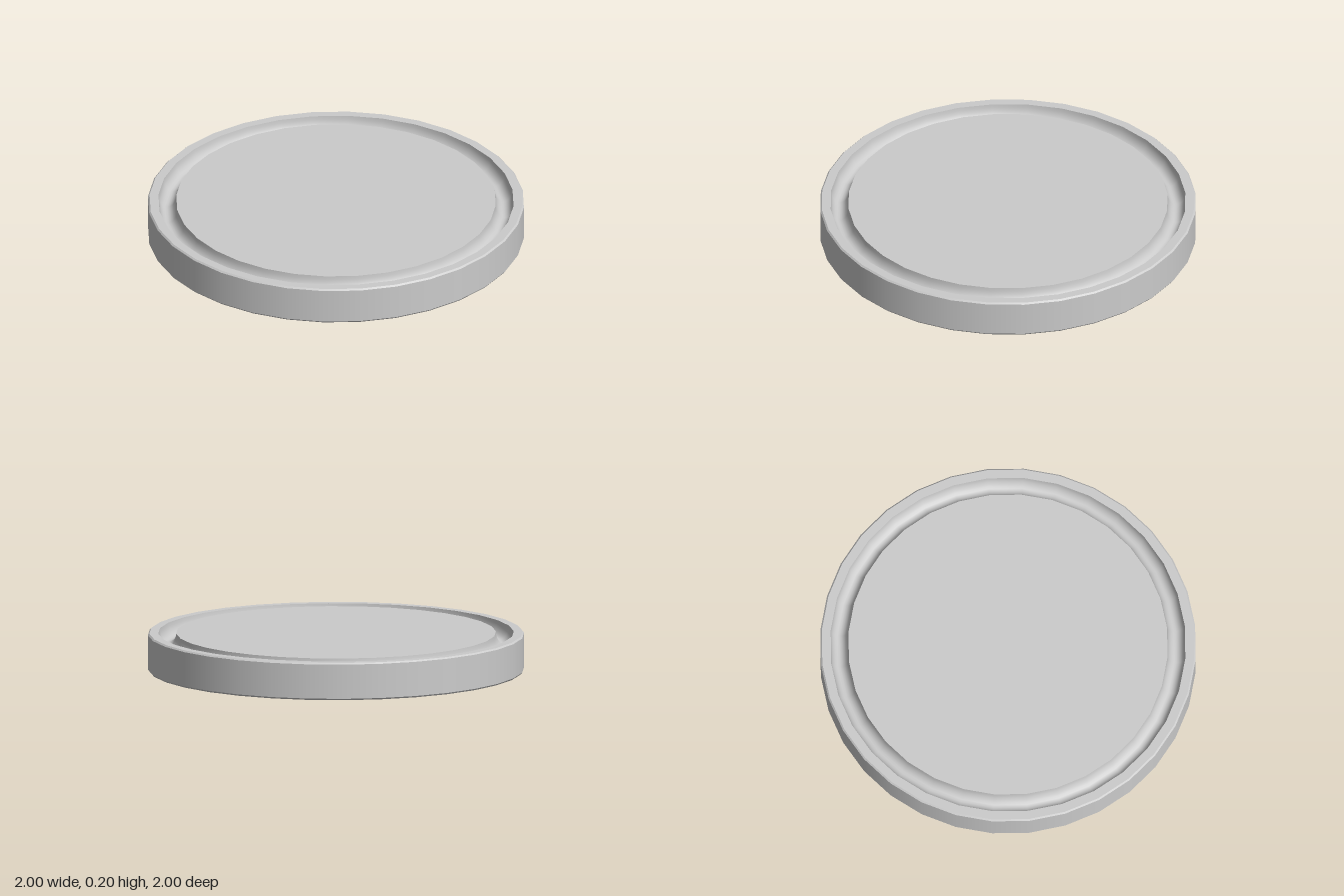
import * as THREE from 'three';

const SEGMENTS = 32;
const TOP = 0.2;

export function createModel() {
  const lid = new THREE.Group();
  lid.name = 'lid';
  const material = new THREE.MeshStandardMaterial({ color: 0xcccccc, side: THREE.DoubleSide });

  // Each band is its own lathe, so normals are smooth within it and sharp between bands
  const addBand = (name, profile) => {
    const points = profile.map(([r, y]) => new THREE.Vector2(r, y));
    const mesh = new THREE.Mesh(new THREE.LatheGeometry(points, SEGMENTS), material);
    mesh.name = name;
    lid.add(mesh);
  };

  // Open-bottomed side wall with slightly eased edges
  addBand('bottomEdge', [[0.994, 0], [1, 0.008]]);
  addBand('skirt', [[1, 0.008], [1, TOP - 0.008]]);
  addBand('topEdge', [[1, TOP - 0.008], [0.992, TOP]]);

  // Flat rim around the top
  addBand('rim', [[0.992, TOP], [0.945, TOP]]);

  // Rounded channel between the rim and the centre panel
  const inner = 0.85, outer = 0.945, depth = 0.072, steps = 12;
  const middle = (inner + outer) / 2, half = (outer - inner) / 2;
  const channel = [];
  for (let i = 0; i <= steps; i++) {
    const a = (i / steps) * Math.PI;
    channel.push([middle + half * Math.cos(a), TOP - depth * Math.sin(a)]);
  }
  addBand('channel', channel);

  // Flat centre panel
  const panel = new THREE.Mesh(new THREE.CircleGeometry(inner, SEGMENTS), material);
  panel.name = 'centrePanel';
  panel.rotation.x = -Math.PI / 2;
  panel.position.y = TOP;
  lid.add(panel);

  return lid;
}
